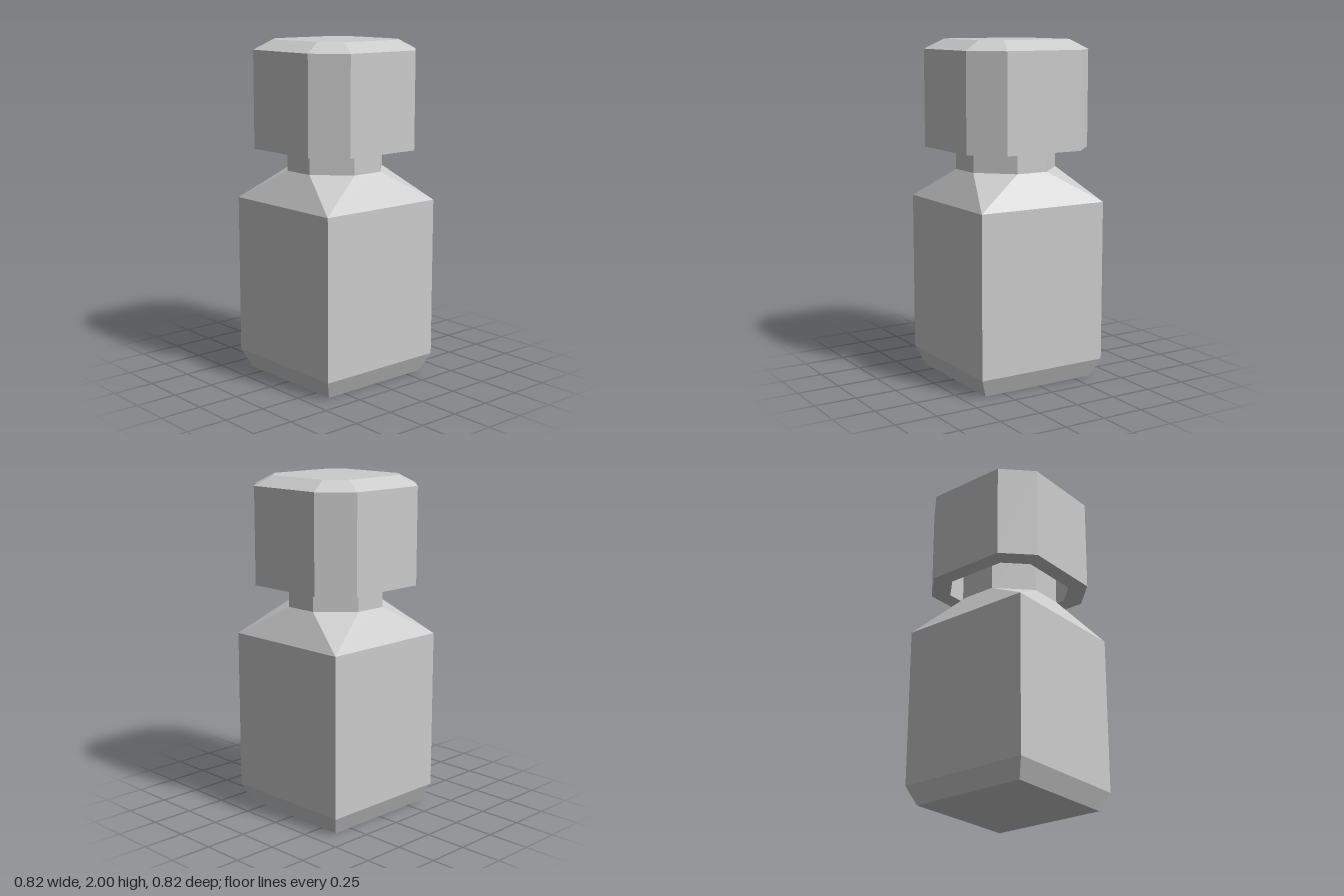
import * as THREE from 'three';

// Chamfered square ring: half = half width, flat = half length of each straight side.
// With flat equal to half the ring becomes a plain square.
function ring(y, half, flat) {
  const corners = [
    [flat, half], [half, flat], [half, -flat], [flat, -half],
    [-flat, -half], [-half, -flat], [-half, flat], [-flat, half],
  ];
  return corners.map(([x, z]) => new THREE.Vector3(x, y, z));
}

// Joins the rings in order, with optional flat ends; collapsed triangles are skipped.
function loft(name, rings, { capStart = false, capEnd = false } = {}) {
  const pos = [];
  const tri = (a, b, c) => {
    const area = new THREE.Vector3().subVectors(b, a).cross(new THREE.Vector3().subVectors(c, a));
    if (area.length() > 1e-8) for (const p of [a, b, c]) pos.push(p.x, p.y, p.z);
  };
  for (let i = 0; i < rings.length - 1; i++) {
    const lo = rings[i], hi = rings[i + 1];
    for (let j = 0; j < 8; j++) {
      const k = (j + 1) % 8;
      tri(lo[j], lo[k], hi[k]);
      tri(lo[j], hi[k], hi[j]);
    }
  }
  const first = rings[0], last = rings[rings.length - 1];
  for (let j = 1; j < 7; j++) {
    if (capStart) tri(first[0], first[j + 1], first[j]);
    if (capEnd) tri(last[0], last[j], last[j + 1]);
  }
  const geometry = new THREE.BufferGeometry();
  geometry.setAttribute('position', new THREE.Float32BufferAttribute(pos, 3));
  geometry.computeVertexNormals();
  const mesh = new THREE.Mesh(
    geometry,
    new THREE.MeshStandardMaterial({ color: 0xcccccc, flatShading: true })
  );
  mesh.name = name;
  return mesh;
}

export function createModel() {
  const model = new THREE.Group();
  model.name = 'bottle';

  // Square body with a tapered foot
  model.add(loft('body', [
    ring(0, 0.363, 0.363),
    ring(0.11, 0.411, 0.411),
    ring(1.06, 0.411, 0.411),
  ], { capStart: true }));

  // Shoulder blending from the square to the eight-sided neck
  model.add(loft('shoulder', [
    ring(1.06, 0.411, 0.411),
    ring(1.245, 0.283, 0.1),
  ]));

  // Neck, reaching up inside the cap
  model.add(loft('neck', [
    ring(1.245, 0.283, 0.1),
    ring(1.62, 0.283, 0.1),
  ], { capEnd: true }));

  // Hollow cap: inner ceiling, inner wall, bottom rim, outer wall, bevelled top
  model.add(loft('cap', [
    ring(1.85, 0.312, 0.186),
    ring(1.37, 0.312, 0.186),
    ring(1.37, 0.411, 0.246),
    ring(1.943, 0.411, 0.246),
    ring(2, 0.305, 0.202),
  ], { capStart: true, capEnd: true }));

  return model;
}
